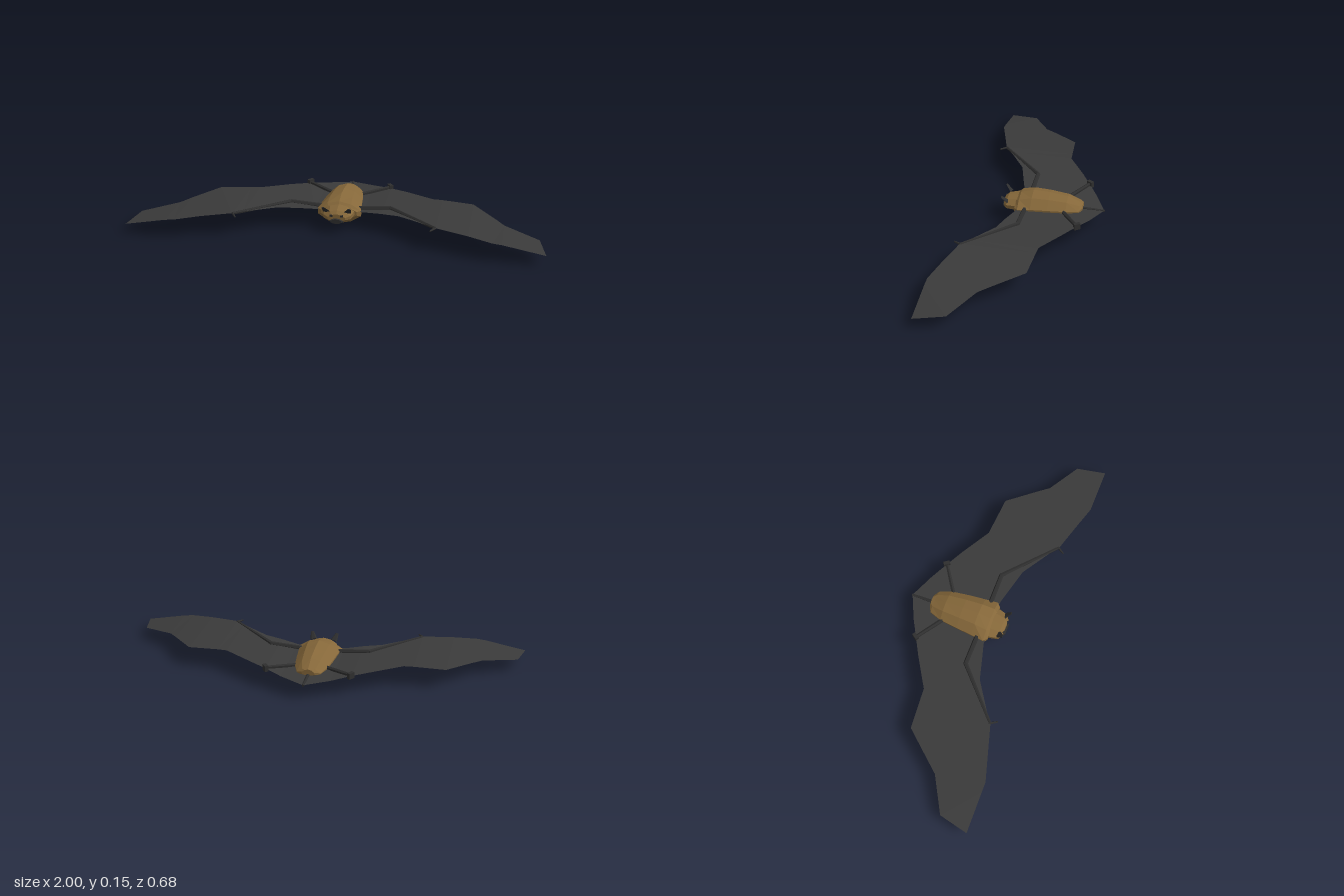
import * as THREE from 'three';

const mat = (name, color, extra = {}) => {
  const m = new THREE.MeshStandardMaterial({ color, flatShading: true, ...extra });
  m.name = name;
  return m;
};
const fur = mat('brown fur', 0x86683a);
const skin = mat('dark skin', 0x2e2e2e);
const membrane = mat('grey membrane', 0x3a3a3a, { side: THREE.DoubleSide });

function add(group, name, geometry, material) {
  const mesh = new THREE.Mesh(geometry, material);
  mesh.name = name;
  group.add(mesh);
  return mesh;
}

function fromTriangles(pos) {
  const g = new THREE.BufferGeometry();
  g.setAttribute('position', new THREE.Float32BufferAttribute(pos, 3));
  g.computeVertexNormals();
  return g;
}

// Ten-sided cross-section, counter-clockwise seen from the front
const half = [[0.55, -0.76], [1, -0.25], [1, 0.25], [0.55, 0.78]];
const section = [[0, -1], ...half, [0, 1], ...half.map(([x, y]) => [-x, y]).reverse()];

// Stations run back to front: [z, half width, bottom y, top y]
function loft(stations) {
  const rings = stations.map(([z, w, y0, y1]) =>
    section.map(([x, y]) => [x * w, (y0 + y1) / 2 + y * (y1 - y0) / 2, z]));
  const pos = [], n = section.length, last = rings.length - 1;
  const tri = (a, b, c) => pos.push(...a, ...b, ...c);
  for (let i = 0; i < last; i++) {
    for (let j = 0; j < n; j++) {
      const k = (j + 1) % n;
      tri(rings[i][j], rings[i][k], rings[i + 1][k]);
      tri(rings[i][j], rings[i + 1][k], rings[i + 1][j]);
    }
  }
  for (let j = 1; j < n - 1; j++) {
    tri(rings[0][0], rings[0][j + 1], rings[0][j]);
    tri(rings[last][0], rings[last][j], rings[last][j + 1]);
  }
  return fromTriangles(pos);
}

// Six-sided tapering rod between two points
function rod(group, name, a, b, r0, r1) {
  const p = new THREE.Vector3(...a), d = new THREE.Vector3(...b).sub(p);
  const m = add(group, name, new THREE.CylinderGeometry(r1, r0, d.length(), 6), skin);
  m.quaternion.setFromUnitVectors(new THREE.Vector3(0, 1, 0), d.clone().normalize());
  m.position.copy(p).addScaledVector(d, 0.5);
}

// Wing stations: [x, front z, back z, front y, back y]
const wing = [
  [0, 0.07, -0.34, 0.085, 0.075], [0.12, 0.085, -0.285, 0.09, 0.084],
  [0.21, 0.11, -0.235, 0.099, 0.095], [0.30, 0.134, -0.185, 0.104, 0.101],
  [0.44, 0.225, -0.10, 0.111, 0.107], [0.487, 0.26, -0.097, 0.113, 0.107],
  [0.64, 0.304, -0.086, 0.104, 0.1], [0.754, 0.337, 0.046, 0.092, 0.088],
  [0.80, 0.337, 0.10, 0.087, 0.081], [0.968, 0.337, 0.193, 0.056, 0.06],
  [1, 0.337, 0.337, 0.05, 0.05],
];

function wingGeometry(s) {
  const pos = [];
  for (let i = 0; i < wing.length - 1; i++) {
    const [x0, f0, b0, yf0, yb0] = wing[i], [x1, f1, b1, yf1, yb1] = wing[i + 1];
    const A = [s * x0, yf0, f0], B = [s * x1, yf1, f1], C = [s * x1, yb1, b1], D = [s * x0, yb0, b0];
    const tris = s > 0 ? [A, B, C, A, C, D] : [A, C, B, A, D, C];
    pos.push(...tris.flat());
  }
  return fromTriangles(pos);
}

export function createModel() {
  const bat = new THREE.Group();
  bat.name = 'bat';

  add(bat, 'body', loft([
    [-0.235, 0.03, 0.07, 0.108], [-0.22, 0.058, 0.042, 0.113], [-0.16, 0.08, 0.018, 0.137],
    [-0.07, 0.092, 0.005, 0.149], [0.012, 0.1, 0, 0.153], [0.075, 0.107, 0.02, 0.135],
    [0.092, 0.088, 0.045, 0.12],
  ]), fur);
  add(bat, 'head', loft([
    [0.08, 0.08, 0.045, 0.126], [0.138, 0.066, 0.046, 0.114], [0.155, 0.042, 0.056, 0.1],
  ]), fur);

  // Face
  add(bat, 'snout', loft([[0.14, 0.04, 0.047, 0.083], [0.163, 0.028, 0.052, 0.076]]), skin);

  // Tail along the rear of the membrane
  rod(bat, 'tail', [0, 0.078, -0.15], [0, 0.074, -0.342], 0.012, 0.006);

  for (const s of [1, -1]) {
    const side = new THREE.Group();
    side.name = s > 0 ? 'leftSide' : 'rightSide';
    bat.add(side);

    add(side, 'wingMembrane', wingGeometry(s), membrane);

    // Arm, forearm and thumb
    rod(side, 'upperArm', [s * 0.08, 0.09, 0.04], [s * 0.25, 0.102, 0.04], 0.012, 0.011);
    rod(side, 'forearm', [s * 0.245, 0.102, 0.038], [s * 0.487, 0.111, 0.258], 0.011, 0.007);
    rod(side, 'thumb', [s * 0.487, 0.111, 0.255], [s * 0.465, 0.108, 0.29], 0.006, 0.004);

    // Leg and foot
    rod(side, 'leg', [s * 0.06, 0.085, -0.14], [s * 0.21, 0.1, -0.238], 0.011, 0.009);
    const foot = add(side, 'foot', new THREE.BoxGeometry(0.032, 0.03, 0.018), skin);
    foot.position.set(s * 0.207, 0.099, -0.238);
    foot.rotation.y = -s * 0.95;

    // Ear plate leaning forward
    const ear = add(side, 'ear', new THREE.CylinderGeometry(0.008, 0.018, 0.042, 5), skin);
    ear.scale.z = 0.25;
    ear.position.set(s * 0.058, 0.119, 0.148);
    ear.rotation.set(0.75, 0, -s * 0.3);

    // Eye
    const eye = add(side, 'eye', new THREE.BoxGeometry(0.014, 0.01, 0.006), skin);
    eye.position.set(s * 0.026, 0.091, 0.154);
  }
  return bat;
}
